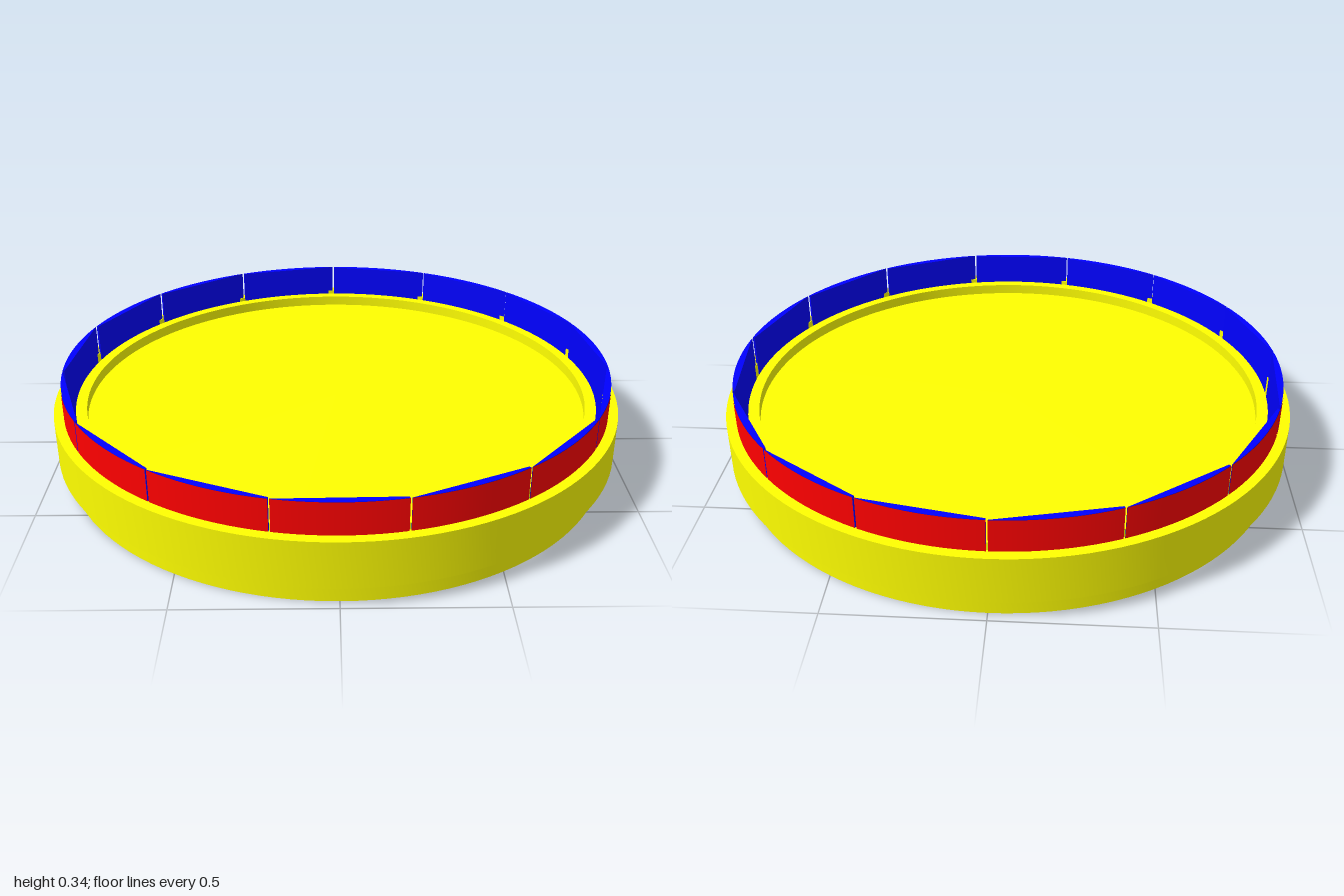
import * as THREE from 'three';
import { toCreasedNormals } from 'three/addons/utils/BufferGeometryUtils.js';

const paint = (color) => new THREE.MeshStandardMaterial({ color });

// Closed [radius, y] profile, turned about the y axis, with crisp edges
function turned(name, profile, material) {
  const points = profile.map(([r, y]) => new THREE.Vector2(r, y));
  const mesh = new THREE.Mesh(toCreasedNormals(new THREE.LatheGeometry(points, 128), 0.5), material);
  mesh.name = name;
  return mesh;
}

export function createModel() {
  const model = new THREE.Group();
  model.name = 'segmentedRingTray';
  const yellow = paint(0xffff00), red = paint(0xff0000), blue = paint(0x0000ff);

  // Outer ring: wide band above a narrower foot
  model.add(turned('outerRing', [
    [0.96, 0], [0.966, 0], [0.966, 0.07], [1, 0.07], [1, 0.23], [0.96, 0.23], [0.96, 0],
  ], yellow));

  // Inner tray: raised rim around a shallow floor, open below
  model.add(turned('innerTray', [
    [0, 0.18], [0.887, 0.18], [0.887, 0.07], [0.925, 0.07],
    [0.925, 0.23], [0.887, 0.23], [0.887, 0.192], [0, 0.192],
  ], yellow));

  // Fifteen separate wall segments: curved outside, flat inside
  const count = 15, y0 = 0.1, y1 = 0.34, height = y1 - y0;
  const half = Math.PI / count - 0.003;
  const innerR = 0.957, outerR = 0.964;

  const shape = new THREE.Shape();
  const a0 = -Math.PI / 2 - half, a1 = -Math.PI / 2 + half;
  shape.moveTo(innerR * Math.cos(a0), innerR * Math.sin(a0));
  shape.absarc(0, 0, outerR, a0, a1, false);
  shape.lineTo(innerR * Math.cos(a1), innerR * Math.sin(a1));
  shape.closePath();
  const bodyGeometry = new THREE.ExtrudeGeometry(shape, { depth: height, bevelEnabled: false, curveSegments: 10 });
  bodyGeometry.rotateX(-Math.PI / 2).translate(0, y0, 0);

  const skinGeometry = new THREE.CylinderGeometry(0.966, 0.966, height, 10, 1, true, -half, 2 * half);
  skinGeometry.translate(0, (y0 + y1) / 2, 0);

  for (let i = 0; i < count; i++) {
    const segment = new THREE.Group();
    segment.name = `wallSegment${i + 1}`;
    const body = new THREE.Mesh(bodyGeometry, blue);
    body.name = 'segmentBody';
    const skin = new THREE.Mesh(skinGeometry, red);
    skin.name = 'segmentOuterFace';
    segment.add(body, skin);
    segment.rotation.y = (i * 2 * Math.PI) / count;
    model.add(segment);
  }
  return model;
}
